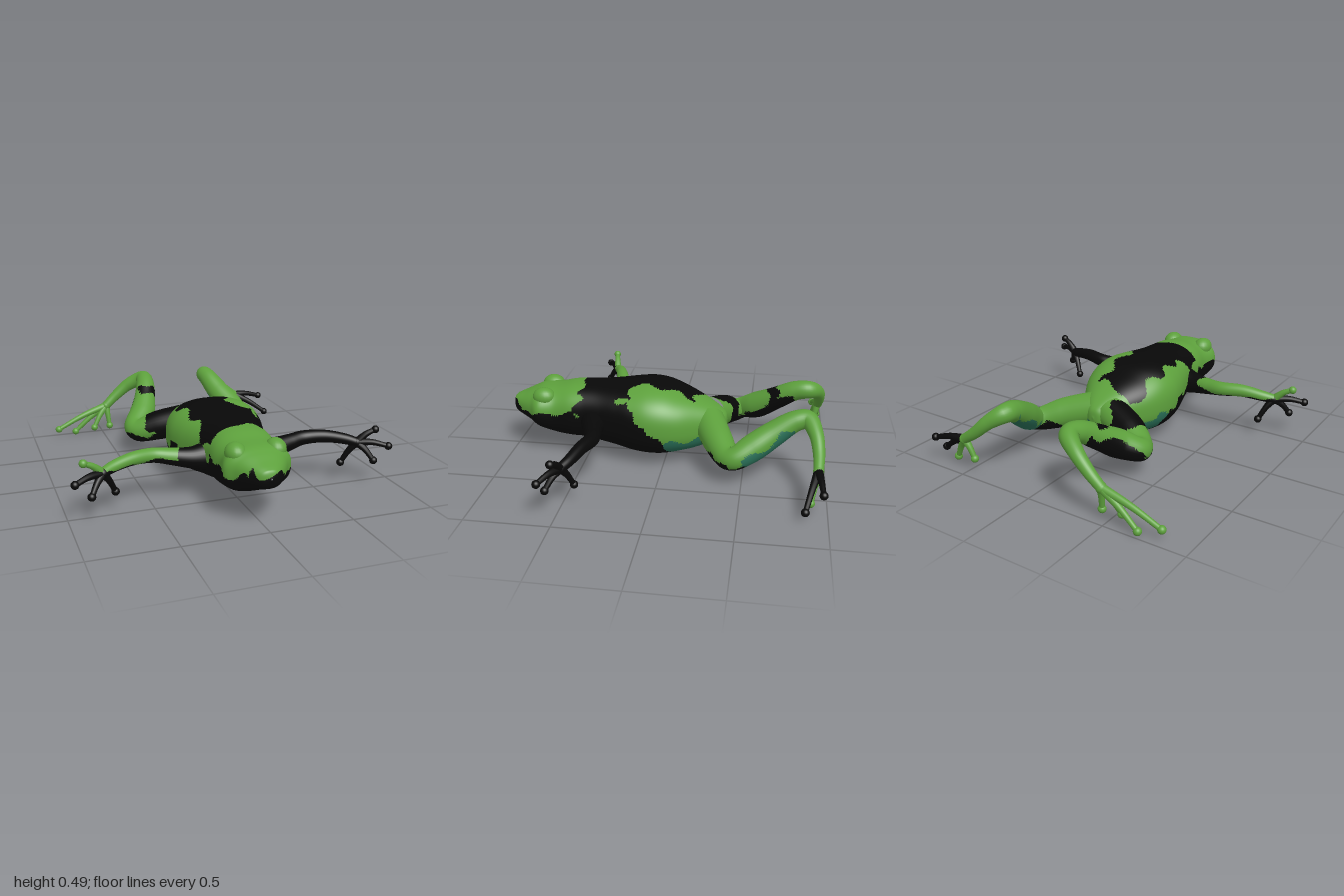
import * as THREE from 'three';

const V = (p) => new THREE.Vector3(p[0], p[1], p[2]);
const skins = {
  green: new THREE.MeshStandardMaterial({ color: 0x5da03c }),
  black: new THREE.MeshStandardMaterial({ color: 0x080808 }),
  teal: new THREE.MeshStandardMaterial({ color: 0x2a7058 }),
};
const wobble = (x, y, z) => 0.022 * Math.sin(31 * z + 13 * x) + 0.014 * Math.sin(47 * y - 38 * x + 20 * z);

// Splits a smooth surface into colour patches, chosen per triangle
function patched(name, geo, pick) {
  const group = new THREE.Group();
  group.name = name;
  const pos = geo.attributes.position, idx = geo.index.array, lists = {};
  const c = new THREE.Vector3(), p = new THREE.Vector3();
  for (let i = 0; i < idx.length; i += 3) {
    c.set(0, 0, 0);
    for (let k = 0; k < 3; k++) c.add(p.fromBufferAttribute(pos, idx[i + k]));
    c.divideScalar(3);
    (lists[pick(c.x, c.y, c.z)] ??= []).push(idx[i], idx[i + 1], idx[i + 2]);
  }
  for (const key in lists) {
    const g = new THREE.BufferGeometry();
    g.setAttribute('position', pos);
    g.setAttribute('normal', geo.attributes.normal);
    g.setIndex(lists[key]);
    const mesh = new THREE.Mesh(g, skins[key]);
    mesh.name = `${name} ${key} skin`;
    group.add(mesh);
  }
  return group;
}

// Tube through points [x, y, z, radius] with a changing radius
function taperedTube(pts, seg, sides) {
  const curve = new THREE.CatmullRomCurve3(pts.map(V));
  const radii = new THREE.SplineCurve(pts.map((p, i) => new THREE.Vector2(i, p[3])));
  const geo = new THREE.TubeGeometry(curve, seg, 1, sides);
  const pos = geo.attributes.position, v = new THREE.Vector3();
  for (let i = 0; i <= seg; i++) {
    const c = curve.getPointAt(i / seg);
    const r = radii.getPoint(curve.getUtoTmapping(i / seg)).y;
    for (let j = 0; j <= sides; j++) {
      const k = i * (sides + 1) + j;
      v.fromBufferAttribute(pos, k).sub(c).multiplyScalar(r).add(c);
      pos.setXYZ(k, v.x, v.y, v.z);
    }
  }
  return geo;
}

function ball(name, p, r, skin, scale = [1, 1, 1]) {
  const mesh = new THREE.Mesh(new THREE.SphereGeometry(r, 20, 14), skins[skin]);
  mesh.name = name;
  mesh.position.copy(V(p));
  mesh.scale.set(...scale);
  return mesh;
}

// Limb with digits; each digit is [tip x, y, z, skin]
function limb(name, digitName, pts, digits, pick) {
  const group = new THREE.Group();
  group.name = name;
  group.add(patched(`${name} skin`, taperedTube(pts, 110, 30), pick));
  const end = pts[pts.length - 1];
  group.add(ball(`${name} palm`, end, end[3] * 1.05, digits[0][3]));
  for (const [x, y, z, skin] of digits) {
    const tip = [x, y, z];
    const mid = [0, 1, 2].map((k) => end[k] * 0.5 + tip[k] * 0.5 + (k === 1 ? 0.012 : 0));
    const geo = taperedTube([[...end.slice(0, 3), 0.026], [...mid, 0.019], [...tip, 0.015]], 14, 12);
    const digit = new THREE.Mesh(geo, skins[skin]);
    digit.name = digitName;
    group.add(digit, ball(`${digitName} pad`, tip, 0.024, skin));
  }
  return group;
}

// Body and head: rounded sections [z, half width, bottom, top] from rump to snout
function bodyGeometry() {
  const sections = [
    [-0.385, 0.004, 0.25, 0.26], [-0.37, 0.05, 0.19, 0.31], [-0.3, 0.125, 0.13, 0.36], [-0.2, 0.195, 0.09, 0.41],
    [-0.1, 0.255, 0.07, 0.45], [0, 0.288, 0.052, 0.485], [0.1, 0.297, 0.05, 0.497], [0.2, 0.28, 0.06, 0.49],
    [0.3, 0.25, 0.08, 0.478], [0.4, 0.22, 0.095, 0.47], [0.5, 0.2, 0.113, 0.467], [0.6, 0.195, 0.117, 0.46],
    [0.7, 0.182, 0.13, 0.44], [0.8, 0.2, 0.17, 0.43], [0.86, 0.155, 0.2, 0.41], [0.92, 0.112, 0.225, 0.383],
    [0.97, 0.072, 0.245, 0.362], [0.99, 0.045, 0.265, 0.348], [1, 0.004, 0.305, 0.312],
  ];
  const axis = new THREE.CatmullRomCurve3(sections.map(([z, w]) => new THREE.Vector3(z, w, 0)));
  const span = new THREE.CatmullRomCurve3(sections.map(([z, , b, t]) => new THREE.Vector3(z, b, t)));
  // Uniform splines keep both curves in step
  axis.curveType = span.curveType = 'catmullrom';
  const rings = 144, sides = 96, pos = [], index = [];
  const round = (s) => Math.sign(s) * Math.pow(Math.abs(s), 0.82);
  for (let i = 0; i <= rings; i++) {
    const a = axis.getPoint(i / rings), s = span.getPoint(i / rings);
    for (let j = 0; j < sides; j++) {
      const t = (j / sides) * Math.PI * 2;
      pos.push(a.y * round(Math.cos(t)), (s.y + s.z) / 2 + ((s.z - s.y) / 2) * round(Math.sin(t)), a.x);
      if (i === rings) continue;
      const p = i * sides + j, q = i * sides + ((j + 1) % sides);
      index.push(p, q, p + sides, q, q + sides, p + sides);
    }
  }
  const geo = new THREE.BufferGeometry();
  geo.setAttribute('position', new THREE.Float32BufferAttribute(pos, 3));
  geo.setIndex(index);
  geo.computeVertexNormals();
  return geo;
}

// Green head and flanks, dark back, jaw and belly, teal rear belly
function bodySkin(x, y, z) {
  const w = wobble(x, y, z);
  if (z > 0.54 + w) return y < 0.3 + w + (z > 0.93 ? 0.04 : 0) ? 'black' : 'green';
  const rearEdge = -0.05 + (y - 0.12) * 0.9 + w;
  if (z > rearEdge && y < (x > 0 ? 0.44 : 0.25) + w) return 'black';
  const right = z > 0.2 + w ? 0.21 : 0.09;
  if (y > 0.33 && z > -0.2 + w && x > -0.2 + w && x < right + w) return 'black';
  return y < 0.2 + w ? 'teal' : 'green';
}

export function createModel() {
  const frog = new THREE.Group();
  frog.name = 'frog';
  frog.add(patched('body', bodyGeometry(), bodySkin));

  // Eye bulges
  for (const s of [-1, 1]) frog.add(ball(s > 0 ? 'leftEye' : 'rightEye', [s * 0.118, 0.393, 0.77], 0.06, 'green', [1, 0.98, 1.2]));

  // Front limbs mirror each other, with different markings
  const arm = [[0.12, 0.27, 0.44, 0.1], [0.25, 0.262, 0.43, 0.066], [0.38, 0.275, 0.4, 0.05], [0.47, 0.287, 0.385, 0.044],
    [0.6, 0.293, 0.415, 0.039], [0.73, 0.272, 0.455, 0.033], [0.79, 0.255, 0.487, 0.029]];
  const fingers = [[0.96, 0.24, 0.575], [0.9, 0.333, 0.51], [0.87, 0.152, 0.56], [0.712, 0.115, 0.435]];
  const flip = ([x, ...rest]) => [-x, ...rest];
  frog.add(limb('leftArm', 'finger', arm, fingers.map((f) => [...f, 'black']), () => 'black'));
  frog.add(limb('rightArm', 'finger', arm.map(flip), fingers.map((f, i) => [...flip(f), i === 1 ? 'green' : 'black']),
    (x, y, z) => (x > -0.33 + wobble(x, y, z) || y < 0.268 + 0.4 * wobble(x, y, z) ? 'black' : 'green')));

  // Hind limbs: thigh, knee, shank, ankle, foot
  frog.add(limb('rightLeg', 'toe',
    [[-0.06, 0.27, -0.27, 0.1], [-0.24, 0.22, -0.345, 0.097], [-0.36, 0.175, -0.415, 0.075], [-0.378, 0.185, -0.46, 0.07],
      [-0.3, 0.245, -0.56, 0.085], [-0.25, 0.315, -0.67, 0.073], [-0.212, 0.393, -0.8, 0.062], [-0.21, 0.405, -0.885, 0.056],
      [-0.3, 0.355, -0.945, 0.044], [-0.4, 0.27, -0.964, 0.035], [-0.47, 0.205, -0.962, 0.03]],
    [[-0.825, 0.065, -0.94, 'green'], [-0.7, 0.028, -0.972, 'green'], [-0.57, 0.06, -0.92, 'green'], [-0.455, 0.06, -0.935, 'green']],
    (x, y, z) => {
      const w = wobble(x, y, z);
      const thigh = z > -0.44 && x < -0.12 + w && x > -0.31 + w;
      const shank = z < -0.48 && z > -0.78 + w && y < 0.24 + (-0.56 - z) * 0.65 + w;
      const ring = z < -0.64 + w && z > -0.71 + w && x > -0.29;
      return thigh || shank || ring || (z > -0.5 && y < 0.16 + w) ? 'black' : 'green';
    }));
  frog.add(limb('leftLeg', 'toe',
    [[0.06, 0.27, -0.27, 0.1], [0.24, 0.22, -0.345, 0.092], [0.37, 0.175, -0.42, 0.073], [0.39, 0.185, -0.46, 0.07],
      [0.355, 0.245, -0.56, 0.082], [0.305, 0.315, -0.67, 0.077], [0.265, 0.393, -0.8, 0.063], [0.26, 0.405, -0.87, 0.056],
      [0.34, 0.35, -0.92, 0.043], [0.43, 0.27, -0.94, 0.035], [0.52, 0.205, -0.94, 0.03]],
    [[0.62, 0.05, -0.905, 'green'], [0.735, 0.17, -0.965, 'black'], [0.75, 0.065, -0.872, 'black'], [0.46, 0.088, -0.93, 'green']],
    (x, y, z) => {
      const w = wobble(x, y, z);
      if (z > -0.52 && y < 0.16 + w) return 'black';
      return z < -0.5 && z > -0.8 && y < 0.22 + (-0.56 - z) * 0.65 + w ? 'teal' : 'green';
    }));
  return frog;
}
